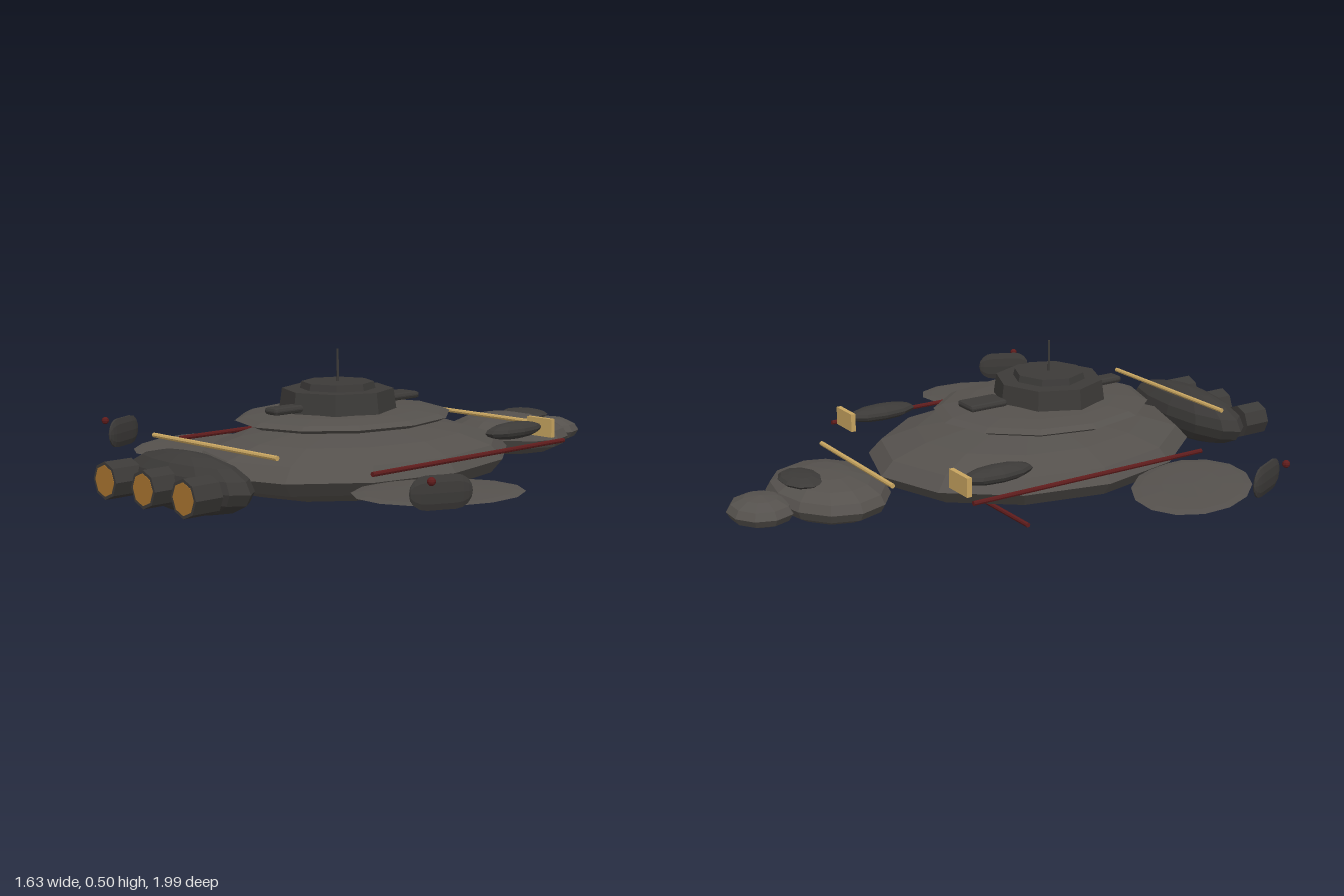
import * as THREE from 'three';
import { RoundedBoxGeometry } from 'three/addons/geometries/RoundedBoxGeometry.js';

const mat = (color) => new THREE.MeshStandardMaterial({ color, flatShading: true });

export function createModel() {
  const model = new THREE.Group();
  const stone = mat(0x55514d), dark = mat(0x3c3a38);
  const gold = mat(0xc8a560), amber = mat(0xa8742f), red = mat(0x5e1c1c);

  const add = (name, geometry, material, x, y, z) => {
    const mesh = new THREE.Mesh(geometry, material);
    mesh.name = name;
    mesh.position.set(x, y, z);
    model.add(mesh);
    return mesh;
  };
  // Faceted ellipsoid with its poles up and down
  const ellipsoid = (rx, ry, rz, sides = 12, rings = 8) =>
    new THREE.SphereGeometry(1, sides, rings).scale(rx, ry, rz);
  // Round bar along x or z
  const bar = (length, radius, axis) => {
    const g = new THREE.CylinderGeometry(radius, radius, length, 8);
    return axis === 'x' ? g.rotateZ(Math.PI / 2) : g.rotateX(Math.PI / 2);
  };

  // Hull and upper deck
  add('hull', ellipsoid(0.465, 0.12, 0.59), stone, 0, 0.135, 0.13);
  add('upperDeck', ellipsoid(0.325, 0.032, 0.39), stone, 0, 0.276, 0.175);

  // Octagonal turret with cap, hatches and mast
  add('turret', new THREE.CylinderGeometry(0.185, 0.196, 0.08, 8), dark, 0, 0.33, 0.205);
  add('turretCap', new THREE.CylinderGeometry(0.12, 0.126, 0.025, 8), dark, 0, 0.38, 0.205);
  add('frontHatch', new RoundedBoxGeometry(0.06, 0.024, 0.13, 1, 0.01), dark, 0, 0.32, 0.435);
  add('rearHatch', new RoundedBoxGeometry(0.094, 0.024, 0.145, 1, 0.01), dark, 0, 0.32, -0.065);
  add('mast', new THREE.CylinderGeometry(0.004, 0.004, 0.12, 6), dark, 0, 0.44, 0.205);

  // Rear section
  add('rearBody', ellipsoid(0.24, 0.075, 0.19), stone, 0, 0.125, -0.655);
  add('tail', ellipsoid(0.117, 0.048, 0.11, 10, 6), stone, 0, 0.112, -0.89);
  add('rearBlister', ellipsoid(0.096, 0.018, 0.07, 10, 6), dark, 0, 0.187, -0.75);

  // Front thruster housing and its three nozzles
  add('thrusterHousing', ellipsoid(0.3, 0.095, 0.096), dark, 0, 0.138, 0.83);
  for (const x of [-0.197, 0, 0.197]) {
    add('nozzle', bar(0.1, 0.06, 'z').scale(1, 1, 1), dark, x, 0.136, 0.949);
    add('nozzleGlow', bar(0.006, 0.05, 'z'), amber, x, 0.136, 0.997);
  }

  // Cross bars
  add('frontCrossBar', bar(0.61, 0.008, 'x'), gold, 0, 0.236, 0.732);
  add('rearCrossBar', bar(0.49, 0.008, 'x'), gold, 0, 0.197, -0.552);
  add('keelBar', bar(0.72, 0.008, 'x'), red, 0, 0.01, -0.12);

  // Paired side parts
  for (const s of [-1, 1]) {
    add('sideRail', bar(0.9, 0.008, 'z'), red, s * 0.471, 0.18, 0.052);

    const fin = add('fin', ellipsoid(0.185, 0.009, 0.268, 14, 6), stone, s * 0.605, 0.126, 0.355);
    fin.rotation.set(0, -s * 0.54, -s * 0.03);

    // Flattened capsule beside each fin, with a small lamp
    const pod = add('sidePod', new THREE.CapsuleGeometry(0.053, 0.09, 4, 10)
      .rotateX(Math.PI / 2).scale(0.25, 1, 1), dark, s * 0.772, 0.172, 0.522);
    pod.rotation.y = -s * 0.43;
    add('lamp', new THREE.SphereGeometry(0.013, 8, 6), red, s * 0.793, 0.214, 0.584);

    add('nacelle', ellipsoid(0.05, 0.028, 0.132, 10, 8), dark, s * 0.377, 0.22, -0.25);
    add('nacellePlate', new THREE.BoxGeometry(0.108, 0.063, 0.017), gold, s * 0.379, 0.217, -0.388);
  }
  return model;
}
